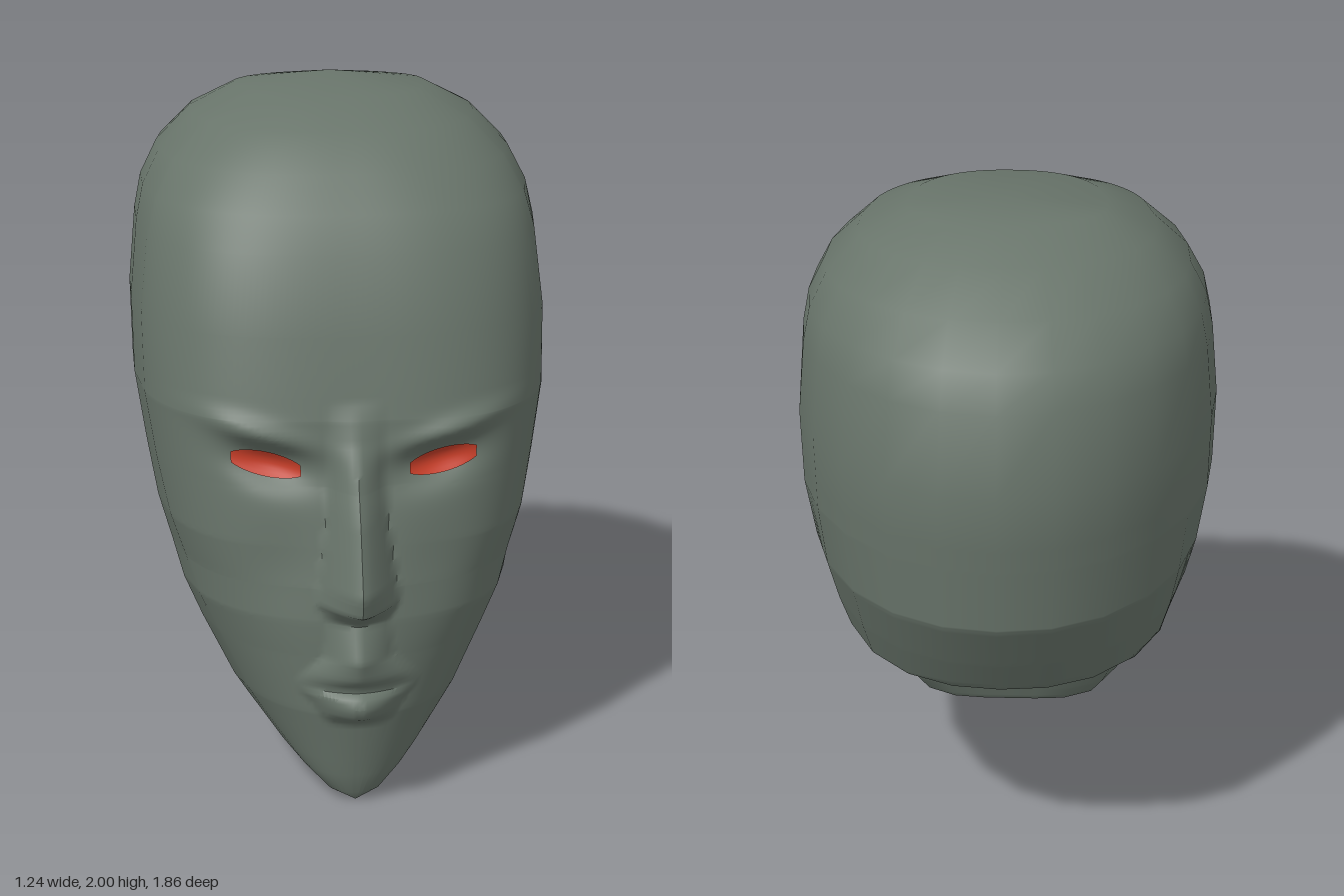
import * as THREE from 'three';
import { toCreasedNormals } from 'three/addons/utils/BufferGeometryUtils.js';

// Head cross-sections: y, half width, front z, back z, widest z, front squareness, back squareness
const LEVELS = [
  [0.00, 0.00, 0.71, 0.71, 0.71, 2.0, 2.0],
  [0.03, 0.08, 0.73, 0.55, 0.66, 2.0, 2.6],
  [0.09, 0.15, 0.745, 0.36, 0.60, 2.0, 3.0],
  [0.14, 0.21, 0.755, 0.25, 0.50, 2.0, 3.5],
  [0.25, 0.31, 0.78, 0.00, 0.36, 2.0, 4.0],
  [0.30, 0.35, 0.79, -0.02, 0.32, 2.0, 4.0],
  [0.47, 0.44, 0.79, -0.09, 0.26, 2.1, 4.0],
  [0.58, 0.49, 0.79, -0.41, 0.20, 2.3, 3.2],
  [0.68, 0.52, 0.78, -0.71, 0.10, 2.5, 2.3],
  [0.80, 0.555, 0.755, -0.79, 0.05, 2.8, 2.2],
  [0.96, 0.585, 0.72, -0.89, -0.05, 3.1, 2.1],
  [1.15, 0.615, 0.70, -0.91, -0.10, 3.2, 2.0],
  [1.38, 0.62, 0.645, -0.93, -0.12, 3.2, 2.0],
  [1.60, 0.60, 0.58, -0.86, -0.15, 3.1, 2.0],
  [1.70, 0.58, 0.515, -0.81, -0.16, 2.9, 2.0],
  [1.80, 0.53, 0.43, -0.69, -0.17, 2.7, 2.0],
  [1.90, 0.43, 0.33, -0.54, -0.18, 2.5, 2.0],
  [1.97, 0.29, 0.14, -0.38, -0.19, 2.3, 2.0],
  [2.00, 0.00, -0.20, -0.20, -0.20, 2.0, 2.0],
];

// Lips and nose along the centre line: y, projection, half width
const RIDGE = [
  [0.27, 0, 0.10], [0.31, 0.06, 0.12], [0.34, 0.068, 0.14], [0.365, 0.055, 0.17],
  [0.38, 0.025, 0.18], [0.395, 0.035, 0.18], [0.42, 0.06, 0.16], [0.48, 0.075, 0.10],
  [0.585, 0.03, 0.09], [0.64, 0.135, 0.12], [0.70, 0.155, 0.11], [0.88, 0.115, 0.085],
  [1.00, 0.07, 0.08], [1.09, 0.03, 0.08], [1.20, 0, 0.08],
];

// Linear lookup in a table keyed by its first column
function lookup(table, y) {
  if (y <= table[0][0]) return table[0];
  for (let i = 1; i < table.length; i++) {
    if (y <= table[i][0]) {
      const a = table[i - 1], b = table[i], t = (y - a[0]) / (b[0] - a[0]);
      return a.map((v, k) => v + (b[k] - v) * t);
    }
  }
  return table[table.length - 1];
}

const bell = (d, width) => Math.exp(-((d / width) ** 2));

// Forward offset of the face: nose, lips, brow ridge, eye socket and cheek hollow
function relief(x, y) {
  const ax = Math.abs(x);
  const [, height, half] = lookup(RIDGE, y);
  let z = height * Math.max(0, 1 - (ax / half) ** 1.4);
  z += 0.03 * bell(y - (1.045 + 0.25 * ax), 0.035) * bell(ax - 0.28, 0.14);
  z -= 0.05 * bell(y - (0.98 + 0.18 * ax), 0.06) * bell(ax - 0.24, 0.12);
  z -= 0.015 * bell(y - 0.72, 0.14) * bell(ax - 0.22, 0.12);
  return z;
}

// Front surface depth at a given x and y
function faceZ(x, y) {
  const [, w, zf, , zc, n] = lookup(LEVELS, y);
  return zc + (zf - zc) * (1 - Math.abs(x / w) ** n) ** (1 / n) + relief(x, y);
}

// Surface from a grid of points, rows running upward and columns toward +x
function gridGeometry(rows, flip = false) {
  const cols = rows[0].length, index = [];
  for (let r = 0; r < rows.length - 1; r++) {
    for (let c = 0; c < cols - 1; c++) {
      const a = r * cols + c, b = a + 1, d = a + cols, e = d + 1;
      if (flip) index.push(a, e, b, a, d, e);
      else index.push(a, b, e, a, e, d);
    }
  }
  const geo = new THREE.BufferGeometry();
  geo.setAttribute('position', new THREE.Float32BufferAttribute(rows.flat(2), 3));
  geo.setIndex(index);
  geo.computeVertexNormals();
  return geo;
}

function headGeometry() {
  // Coarse rows on the skull, fine rows across the face
  const heights = new Set(LEVELS.map((l) => l[0]));
  for (let i = 0; i <= 76; i++) heights.add(Number((0.265 + i * 0.0125).toFixed(4)));
  const ys = [...heights].sort((a, b) => a - b);

  // Fine columns in front, coarse ones round the back
  const angles = [];
  for (let a = -60; a <= 60; a += 1.5) angles.push(a);
  for (let a = 75; a <= 300; a += 15) angles.push(a);

  const rows = ys.map((y) => {
    const [, w, zf, zb, zc, nf, nb] = lookup(LEVELS, y);
    return angles.map((deg) => {
      const a = THREE.MathUtils.degToRad(deg);
      const s = Math.sin(a), c = Math.cos(a);
      const front = c > 0, n = front ? nf : nb;
      const r = 1 / (Math.abs(s) ** n + Math.abs(c) ** n) ** (1 / n);
      const x = w * s * r;
      const z = zc + (front ? zf - zc : zc - zb) * c * r;
      return [x, y, z + (front && Math.abs(deg) <= 60 ? relief(x, y) : 0)];
    });
  });
  return toCreasedNormals(gridGeometry(rows), 0.8);
}

// Slanted almond plate following the eye socket
function eyeGeometry(side) {
  const rows = [];
  for (let j = 0; j <= 6; j++) {
    const row = [];
    for (let i = 0; i <= 16; i++) {
      const u = i / 16;
      const x = side * (0.155 + 0.195 * u);
      const half = 0.036 * Math.sqrt(Math.max(0, Math.sin(Math.PI * (0.06 + 0.88 * u))));
      const y = 1.005 + 0.035 * u + half * (j / 3 - 1);
      row.push([x, y, faceZ(x, y) + 0.008]);
    }
    rows.push(row);
  }
  return gridGeometry(rows, side < 0);
}

export function createModel() {
  const skin = new THREE.MeshStandardMaterial({ color: 0x68746a });
  skin.name = 'grey green skin';
  const red = new THREE.MeshStandardMaterial({ color: 0xc83e28 });
  red.name = 'eye red';

  const model = new THREE.Group();
  model.name = 'head';
  const add = (name, geometry, material) => {
    const mesh = new THREE.Mesh(geometry, material);
    mesh.name = name;
    model.add(mesh);
  };
  add('skullAndFace', headGeometry(), skin);
  add('leftEye', eyeGeometry(1), red);
  add('rightEye', eyeGeometry(-1), red);
  return model;
}
